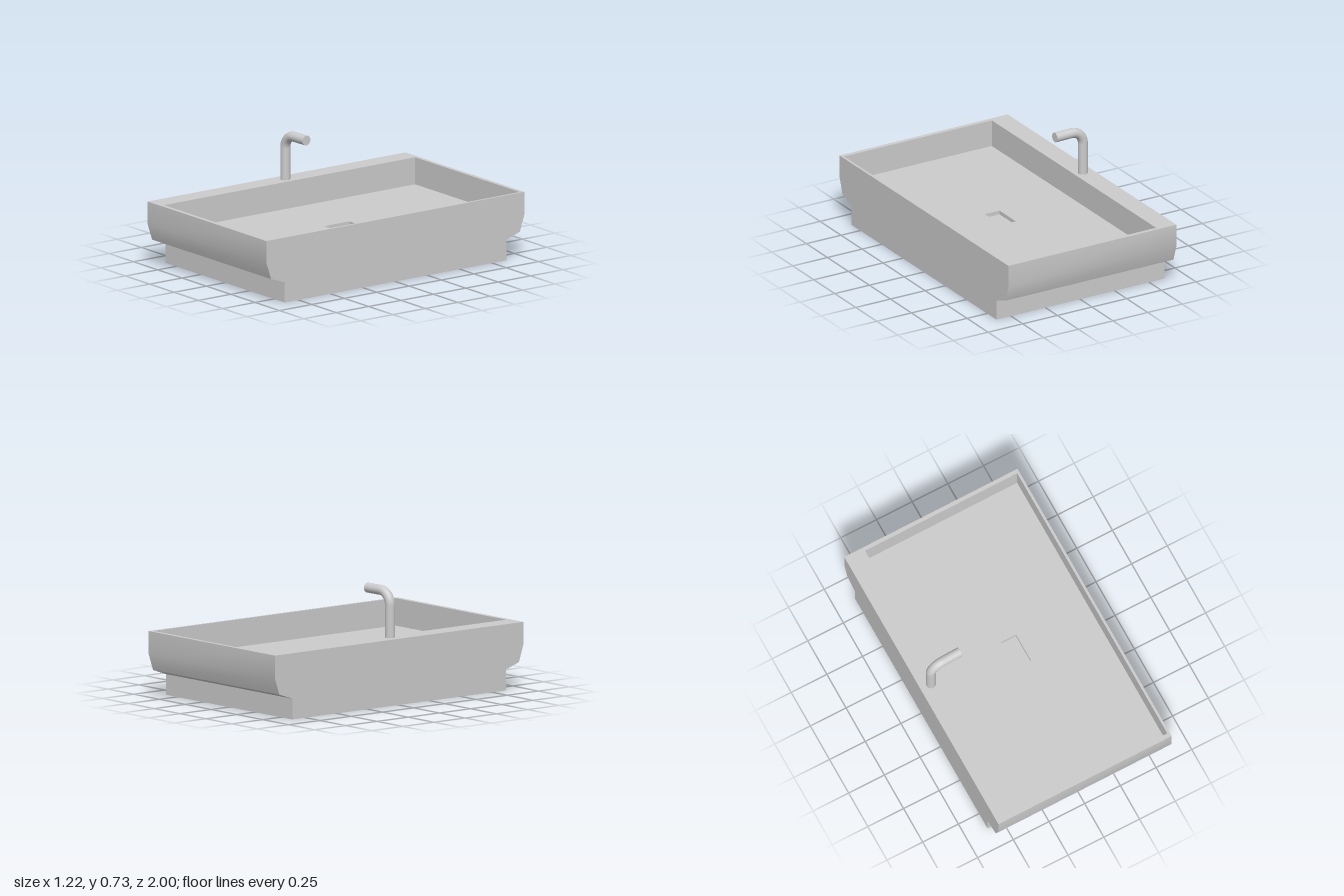
import * as THREE from 'three';
import { toCreasedNormals } from 'three/addons/utils/BufferGeometryUtils.js';

const material = new THREE.MeshStandardMaterial({ color: 0xcccccc });

// Skin a stack of rectangles [x0, x1, z0, z1, y], capped at both ends
function loftRectangles(rings) {
  const corners = ([x0, x1, z0, z1, y]) => [[x0, y, z1], [x1, y, z1], [x1, y, z0], [x0, y, z0]];
  const pos = [];
  const quad = (a, b, c, d) => pos.push(...a, ...b, ...c, ...a, ...c, ...d);
  const loops = rings.map(corners);
  for (let i = 0; i < loops.length - 1; i++) {
    for (let j = 0; j < 4; j++) {
      const k = (j + 1) % 4;
      quad(loops[i][j], loops[i][k], loops[i + 1][k], loops[i + 1][j]);
    }
  }
  quad(...loops[0].slice().reverse());
  quad(...loops[loops.length - 1]);
  const geo = new THREE.BufferGeometry();
  geo.setAttribute('position', new THREE.Float32BufferAttribute(pos, 3));
  return toCreasedNormals(geo, 0.5);
}

function createBasin() {
  const W = 0.608;
  // Outer profile: half depth and height, from the foot to the rim
  const outer = [[0.858, 0], [0.858, 0.13], [0.963, 0.166], [0.998, 0.27], [0.998, 0.414]];
  const rings = outer.map(([d, y]) => [-W, W, -d, d, y]);
  // Inner rim, basin floor and the recessed drain
  rings.push(
    [-0.476, 0.592, -0.973, 0.97, 0.414],
    [-0.476, 0.592, -0.973, 0.97, 0.242],
    [0.004, 0.11, -0.1, 0.095, 0.242],
    [0.004, 0.11, -0.1, 0.095, 0.217]
  );
  const basin = new THREE.Mesh(loftRectangles(rings), material);
  basin.name = 'basin';
  return basin;
}

function createFaucet() {
  const faucet = new THREE.Group();
  faucet.name = 'faucet';
  const r = 0.031, bend = 0.085, height = 0.287, reach = 0.207;
  const v = (x, y) => new THREE.Vector3(x, y, 0);
  const k = bend * 0.5523;

  // Upright, quarter bend and spout
  const path = new THREE.CurvePath();
  path.add(new THREE.LineCurve3(v(0, 0), v(0, height - bend)));
  path.add(new THREE.CubicBezierCurve3(
    v(0, height - bend), v(0, height - bend + k), v(bend - k, height), v(bend, height)));
  path.add(new THREE.LineCurve3(v(bend, height), v(reach, height)));
  const pipe = new THREE.Mesh(new THREE.TubeGeometry(path, 72, r, 32), material);
  pipe.name = 'pipe';

  // Flat spout end
  const end = new THREE.Mesh(new THREE.CircleGeometry(r, 32), material);
  end.name = 'spoutEnd';
  end.rotation.y = Math.PI / 2;
  end.position.set(reach, height, 0);

  faucet.add(pipe, end);
  faucet.position.set(-0.534, 0.414, -0.012);
  faucet.rotation.y = 0.035;
  return faucet;
}

export function createModel() {
  const model = new THREE.Group();
  model.name = 'sink';
  model.add(createBasin(), createFaucet());
  // The whole sink sits very slightly turned
  model.rotation.y = 0.004;
  return model;
}
